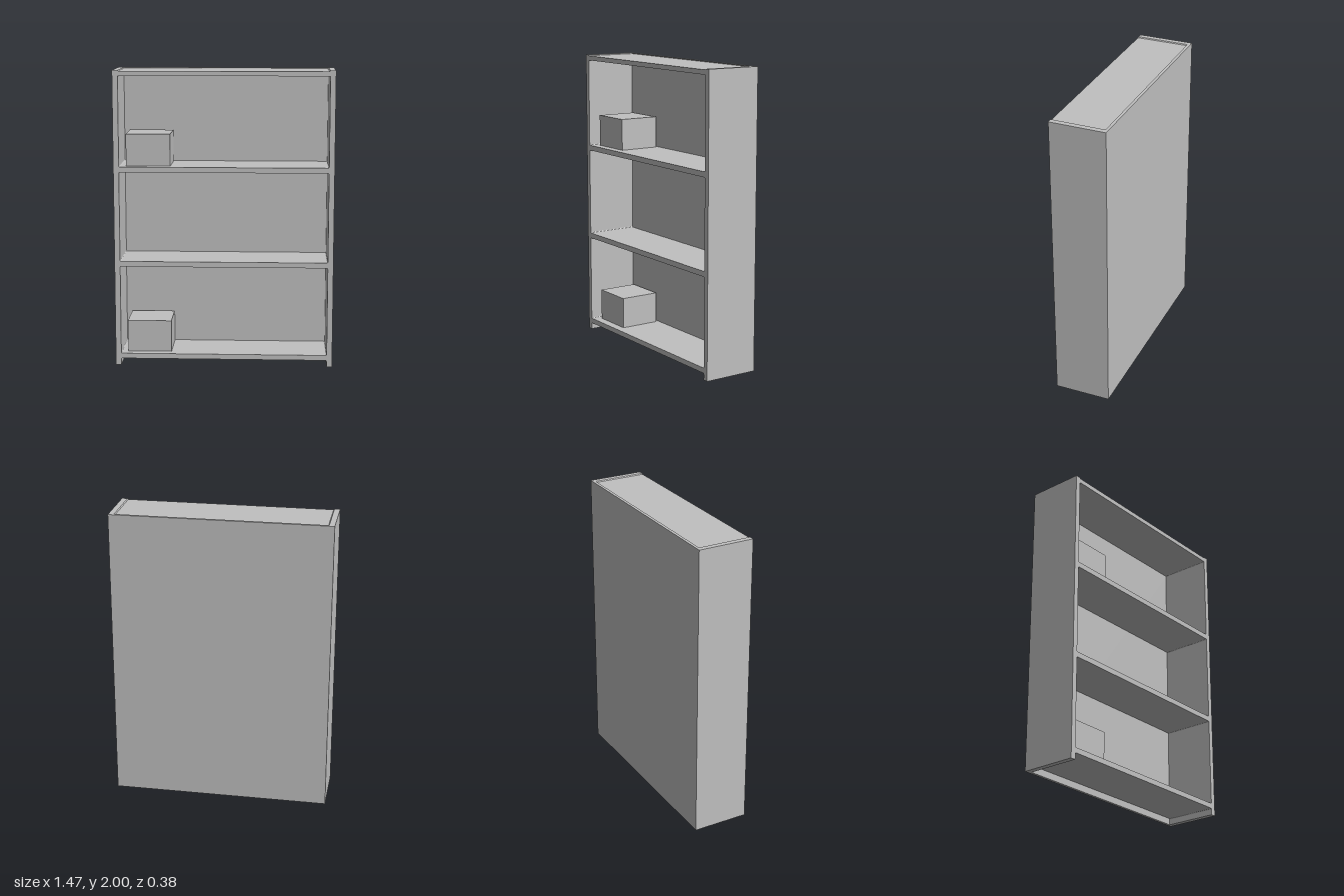
import * as THREE from 'three';

const W = 0.735, H = 2, D = 0.19;   // half width, height, half depth
const IN = 0.698;                   // inner face of the side walls
const BACK = 0.02;                  // back panel thickness
const R = 0.008;                    // fillet in the inner corners

// Opening with slightly rounded corners
function opening(y0, y1) {
  const p = new THREE.Path();
  p.moveTo(-IN + R, y0);
  p.lineTo(IN - R, y0);
  p.quadraticCurveTo(IN, y0, IN, y0 + R);
  p.lineTo(IN, y1 - R);
  p.quadraticCurveTo(IN, y1, IN - R, y1);
  p.lineTo(-IN + R, y1);
  p.quadraticCurveTo(-IN, y1, -IN, y1 - R);
  p.lineTo(-IN, y0 + R);
  p.quadraticCurveTo(-IN, y0, -IN + R, y0);
  return p;
}

export function createModel() {
  const group = new THREE.Group();
  group.name = 'bookcase';
  const grey = new THREE.MeshStandardMaterial({ color: 0xc0c0c0 });
  grey.name = 'grey';

  const add = (name, geometry, x, y, z) => {
    const mesh = new THREE.Mesh(geometry, grey);
    mesh.name = name;
    mesh.position.set(x, y, z);
    group.add(mesh);
  };

  // Sides, shelves and top as one frame: toe notch below, shallow recess above
  const foot = 0.045, top = 1.994;
  const frame = new THREE.Shape();
  frame.moveTo(-W, 0);
  frame.lineTo(-IN, 0);
  frame.lineTo(-IN, foot - R);
  frame.quadraticCurveTo(-IN, foot, -IN + R, foot);
  frame.lineTo(IN - R, foot);
  frame.quadraticCurveTo(IN, foot, IN, foot - R);
  frame.lineTo(IN, 0);
  frame.lineTo(W, 0);
  frame.lineTo(W, H);
  frame.lineTo(IN, H);
  frame.lineTo(IN - 0.006, top);
  frame.lineTo(-IN + 0.006, top);
  frame.lineTo(-IN, H);
  frame.lineTo(-W, H);
  frame.closePath();
  for (const [y0, y1] of [[0.08, 0.683], [0.719, 1.323], [1.359, 1.963]]) {
    frame.holes.push(opening(y0, y1));
  }
  add('frame', new THREE.ExtrudeGeometry(frame, {
    depth: 2 * D - BACK, bevelEnabled: false, curveSegments: 4,
  }), 0, 0, -D + BACK);

  // Back panel
  add('backPanel', new THREE.BoxGeometry(2 * W, H, BACK), 0, H / 2, -D + BACK / 2);

  // Storage boxes on the bottom and top shelves
  const boxH = 0.215;
  [['lowerBox', 0.08], ['upperBox', 1.359]].forEach(([name, y]) => {
    add(name, new THREE.BoxGeometry(0.297, boxH, 0.28), -0.508, y + boxH / 2, -0.01);
  });

  return group;
}
